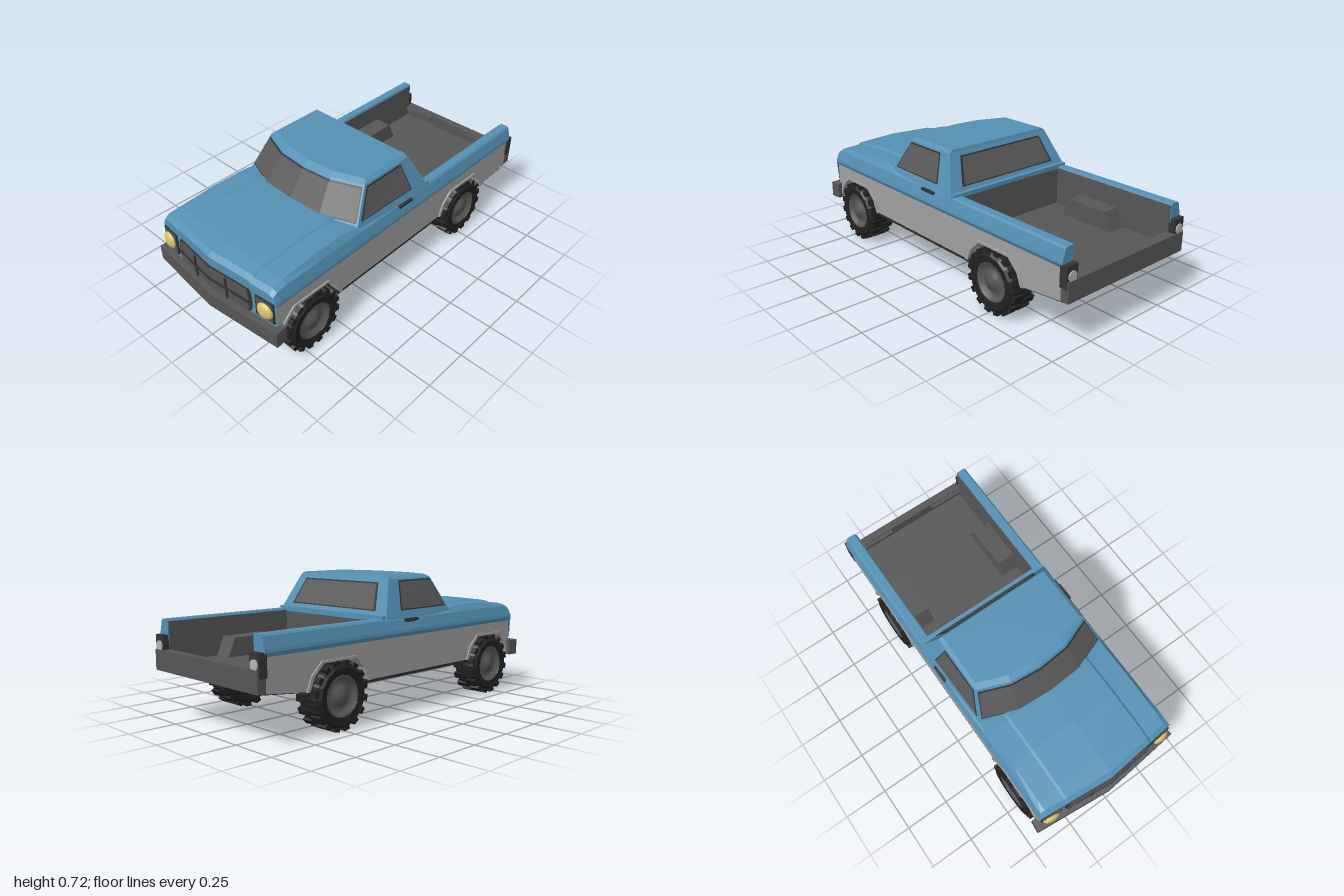
import * as THREE from 'three';

const mat = (name, color) => Object.assign(new THREE.MeshStandardMaterial({ color }), { name });
const blue = mat('bluePaint', 0x5490b4);
const grey = mat('greyPaint', 0xa0a0a0);
const steel = mat('darkGrey', 0x565656);
const glass = mat('glass', 0x5a5a5a);
const trim = mat('blackTrim', 0x353535);
const under = mat('underside', 0x2c2c2c);
const rubber = mat('tyreRubber', 0x212121);
const amber = mat('headlight', 0xdcc26c);
const lens = mat('tailLens', 0xb4b4b4);

function add(parent, name, geometry, material) {
  const m = new THREE.Mesh(geometry, material);
  m.name = name;
  parent.add(m);
  return m;
}

// Box given by its extents
function box(parent, name, material, x0, x1, y0, y1, z0, z1) {
  const g = new THREE.BoxGeometry(x1 - x0, y1 - y0, z1 - z0);
  g.translate((x0 + x1) / 2, (y0 + y1) / 2, (z0 + z1) / 2);
  return add(parent, name, g, material);
}

// Side profile of [z, y] points extruded across x0..x1
function profile(parent, name, material, pts, x0, x1) {
  const shape = new THREE.Shape(pts.map(p => new THREE.Vector2(p[0], p[1])));
  const g = new THREE.ExtrudeGeometry(shape, { depth: x1 - x0, bevelEnabled: false });
  g.rotateY(-Math.PI / 2).translate(x1, 0, 0);
  return add(parent, name, g, material);
}

// Faceted surface through rows of points
function surface(rows) {
  const v = [];
  for (let i = 0; i < rows.length - 1; i++) {
    for (let j = 0; j < rows[i].length - 1; j++) {
      const a = rows[i][j], b = rows[i][j + 1], c = rows[i + 1][j + 1], d = rows[i + 1][j];
      v.push(...a, ...b, ...c, ...a, ...c, ...d);
    }
  }
  const g = new THREE.BufferGeometry();
  g.setAttribute('position', new THREE.Float32BufferAttribute(v, 3));
  g.computeVertexNormals();
  return g;
}

const SLOPE = 0.1; // sweep of the front end
const WHEELS = [0.69, -0.515];

// Wheel-arch outline, front to back
const arch = (zc, k = 1) => [[0.19, 0.22], [0.165, 0.285], [0.105, 0.342], [-0.105, 0.342], [-0.165, 0.285], [-0.19, 0.22]]
  .map(([z, y]) => [zc + z * k, 0.22 + (y - 0.22) * k]);

// Cross-section of the upper body, from +x to -x
function section([z, yt, bow]) {
  const half = [[0.412, 0.41], [0.422, 0.43], [0.42, 0.445], [0.405, Math.min(0.5, yt - 0.015)],
    [0.38, yt - 0.004], [0.27, yt - 0.003], [0.257, yt + 0.007]];
  const full = [...half, [0, yt + 0.01], ...half.map(([x, y]) => [-x, y]).reverse()];
  return full.map(([x, y]) => [x, y, z - bow * Math.abs(x)]);
}

function buildBody(g) {
  const rows = [[-0.19, 0.51, 0], [0.3, 0.525, 0], [0.42, 0.538, 0], [0.62, 0.54, 0], [0.85, 0.523, 0.05],
    [0.93, 0.51, SLOPE], [0.955, 0.49, SLOPE]].map(section);
  add(g, 'upperBody', surface(rows), blue);
  const top = [...rows[rows.length - 1]].reverse();
  const low = top.map(([x, , z]) => [THREE.MathUtils.clamp(x, -0.412, 0.412), 0.285, z]);
  add(g, 'nose', surface([low, top]), blue);

  // Lower sides with wheel arches, flares and sills
  const lower = [[0.91, 0.412], [0.91, 0.22], ...arch(WHEELS[0]), ...arch(WHEELS[1]), [-0.96, 0.25], [-0.96, 0.412]];
  const rail = [[0.35, 0.41], [0.412, 0.41], [0.422, 0.43], [0.42, 0.445], [0.405, 0.5], [0.395, 0.51], [0.353, 0.51], [0.348, 0.5]];
  for (const s of [-1, 1]) {
    const span = (a, b) => (s > 0 ? [a, b] : [-b, -a]);
    profile(g, 'lowerSide', grey, lower, ...span(0.35, 0.412));
    for (const z of WHEELS) profile(g, 'archFlare', grey, [...arch(z, 1.1), ...arch(z).reverse()], ...span(0.39, 0.42));
    box(g, 'sill', under, ...span(0.34, 0.411), 0.205, 0.225, -0.33, 0.51);
    box(g, 'doorHandle', trim, ...span(0.395, 0.419), 0.486, 0.5, -0.05, 0.05);
    box(g, 'handleRecess', trim, ...span(0.4, 0.411), 0.48, 0.49, -0.035, 0.035);

    // Bed side: rail, liner and wheel hump
    const shape = new THREE.Shape(rail.map(([x, y]) => new THREE.Vector2(s * x, y)));
    const rg = new THREE.ExtrudeGeometry(shape, { depth: 0.775, bevelEnabled: false }).translate(0, 0, -0.965);
    add(g, 'bedRail', rg, blue);
    box(g, 'bedLiner', steel, ...span(0.343, 0.356), 0.28, 0.5, -0.96, -0.19);
    profile(g, 'wheelHump', steel, [[-0.345, 0.28], [-0.39, 0.395], [-0.64, 0.395], [-0.69, 0.28]], ...span(0.24, 0.35));

    // Tail lamp
    box(g, 'tailLampHousing', trim, ...span(0.35, 0.42), 0.32, 0.432, -0.992, -0.95);
    const lamp = new THREE.CylinderGeometry(0.026, 0.026, 0.008, 16).rotateX(Math.PI / 2);
    lamp.translate(s * 0.385, 0.378, -0.994);
    add(g, 'tailLampLens', lamp, lens);
    box(g, 'gateCatch', steel, ...span(0.14, 0.35), 0.33, 0.352, -0.96, -0.935);
  }

  // Floor, bed and tail
  profile(g, 'frontCore', under, [[0.91, 0.4], [0.91, 0.206], [-0.19, 0.206], [-0.19, 0.4]], -0.351, 0.351);
  profile(g, 'rearCore', under, [[-0.18, 0.285], [-0.18, 0.206], [-0.66, 0.215], [-0.98, 0.248], [-0.98, 0.285]], -0.351, 0.351);
  profile(g, 'rearUnderside', under, [[-0.7, 0.24], [-0.7, 0.217], [-0.97, 0.247], [-0.97, 0.262]], -0.411, 0.411);
  box(g, 'bedFloor', steel, -0.35, 0.35, 0.28, 0.295, -0.97, -0.19);
  box(g, 'bedFrontWall', steel, -0.35, 0.35, 0.28, 0.5, -0.205, -0.18);
  box(g, 'bedFrontSill', blue, -0.4, 0.4, 0.495, 0.522, -0.205, -0.17);
  box(g, 'tailgate', steel, -0.415, 0.415, 0.252, 0.358, -1, -0.955);
}

// Cab half outlines [x, z] at the waist and at the roof edge
const WAIST = [[0, 0.445], [0.2, 0.43], [0.395, 0.355], [0.41, -0.19]];
const EAVES = [[0, 0.315], [0.17, 0.3], [0.337, 0.235], [0.337, -0.095]];
const CROWN = [[0, 0.285], [0.16, 0.27], [0.318, 0.21], [0.318, -0.09]];
const ring = h => [[-h[2][0], h[2][1]], [-h[1][0], h[1][1]], h[0], h[1], h[2], h[3], [-h[3][0], h[3][1]], [-h[2][0], h[2][1]]];

// Point on the cab wall: s runs round the outline, y is the height
function cabPoint(s, y, off) {
  const i = Math.min(Math.floor(s), 6), f = s - i, t = (y - 0.5) / 0.2;
  const at = r => [0, 1].map(k => r[i][k] + (r[i + 1][k] - r[i][k]) * f);
  const a = at(ring(WAIST)), b = at(ring(EAVES));
  return [a[0] + (b[0] - a[0]) * t + off[0], y, a[1] + (b[1] - a[1]) * t + off[1]];
}

function buildCab(g) {
  const level = (h, y) => ring(h).map(([x, z]) => [x, y, z]);
  const peak = ring(CROWN).map(() => [0, 0.717, 0.06]);
  add(g, 'cab', surface([level(WAIST, 0.5), level(EAVES, 0.7), level(CROWN, 0.715), peak]), blue);

  const panes = [
    ['windscreen', [0.06, 1, 2, 3, 3.94], 0.545, 0.683, [0, 1]],
    ['leftWindow', [4.05, 4.77], 0.548, 0.685, [1, 0]],
    ['rearWindow', [5.11, 5.89], 0.548, 0.675, [0, -1]],
    ['rightWindow', [6.23, 6.95], 0.548, 0.685, [-1, 0]],
  ];
  for (const [name, cols, y0, y1, dir] of panes) {
    const pane = (grow, lift) => surface([y0 - grow * 0.4, y1 + grow * 0.4].map(y => cols.map((s, i) => {
      const end = i === 0 ? -grow : i === cols.length - 1 ? grow : 0;
      return cabPoint(s + end, y, dir.map(d => d * lift));
    })));
    add(g, name + 'Seal', pane(0.018, 0.004), trim);
    add(g, name, pane(0, 0.007), glass);
  }
}

// One swept half of the front end; s is the side
function buildFront(g, s) {
  const half = new THREE.Group();
  half.name = s > 0 ? 'leftFront' : 'rightFront';
  half.position.z = 0.955;
  half.rotation.y = s * Math.atan(SLOPE);
  g.add(half);
  const b = (name, m, x0, x1, ...rest) => box(half, name, m, s > 0 ? x0 : -x1, s > 0 ? x1 : -x0, ...rest);

  const outline = [[0, 0.303], [0.255, 0.303], [0.266, 0.325], [0.27, 0.373], [0.266, 0.422], [0.255, 0.445], [0, 0.445]];
  const shape = k => new THREE.Shape(outline.map(([x, y]) => new THREE.Vector2(s * x * k, 0.374 + (y - 0.374) * k)));
  add(half, 'grilleSurround', new THREE.ExtrudeGeometry(shape(1), { depth: 0.008, bevelEnabled: false }), trim);
  add(half, 'grille', new THREE.ExtrudeGeometry(shape(0.95), { depth: 0.011, bevelEnabled: false }), steel);
  b('grilleBar', trim, 0, 0.262, 0.366, 0.38, 0, 0.018);
  b('grillePost', trim, 0.109, 0.119, 0.308, 0.44, 0, 0.018);

  b('headlightSurround', trim, 0.297, 0.411, 0.315, 0.437, -0.01, 0.008);
  b('headlightPanel', steel, 0.306, 0.403, 0.323, 0.43, 0, 0.011);
  const lamp = add(half, 'headlight', new THREE.SphereGeometry(0.047, 20, 12), amber);
  lamp.position.set(s * 0.36, 0.376, 0.01);
  lamp.scale.z = 0.5;

  b('bumper', steel, -0.003, 0.446, 0.206, 0.293, -0.015, 0.036);
  b('bumperEnd', steel, 0.42, 0.446, 0.206, 0.293, -0.03, 0.0);
}

// Wheel with its axle along x and its outer face towards +x
function buildWheel() {
  const w = new THREE.Group();
  const lathe = (name, pts, m, n) => add(w, name,
    new THREE.LatheGeometry(pts.map(p => new THREE.Vector2(...p)), n).toNonIndexed().rotateZ(-Math.PI / 2), m);
  const tyre = lathe('tyre', [[0.09, -0.07], [0.14, -0.075], [0.158, -0.06], [0.164, -0.03], [0.164, 0.03],
    [0.158, 0.06], [0.14, 0.075], [0.105, 0.07], [0.098, 0.045]], rubber, 16);
  tyre.geometry.computeVertexNormals();
  lathe('rim', [[0.104, 0.066], [0.094, 0.07], [0.085, 0.05], [0.055, 0.045], [0.05, 0.06], [0.028, 0.062],
    [0.025, 0.072], [0, 0.072]], steel, 24);
  lathe('innerRim', [[0, -0.05], [0.06, -0.05], [0.092, -0.07]], steel, 24);
  for (let i = 0; i < 32; i++) {
    const lug = new THREE.BoxGeometry(0.062, 0.022, 0.032);
    lug.translate(i % 2 ? 0.036 : -0.036, 0.161, 0).rotateX((i / 32) * Math.PI * 2);
    add(w, 'treadLug', lug, rubber);
  }
  return w;
}

export function createModel() {
  const g = new THREE.Group();
  g.name = 'pickupTruck';
  buildBody(g);
  buildCab(g);
  for (const s of [1, -1]) {
    buildFront(g, s);
    for (const z of WHEELS) {
      const w = buildWheel();
      w.name = z > 0 ? 'frontWheel' : 'rearWheel';
      w.position.set(s * 0.364, 0.173, z);
      if (s < 0) w.rotation.y = Math.PI;
      g.add(w);
    }
  }
  return g;
}
